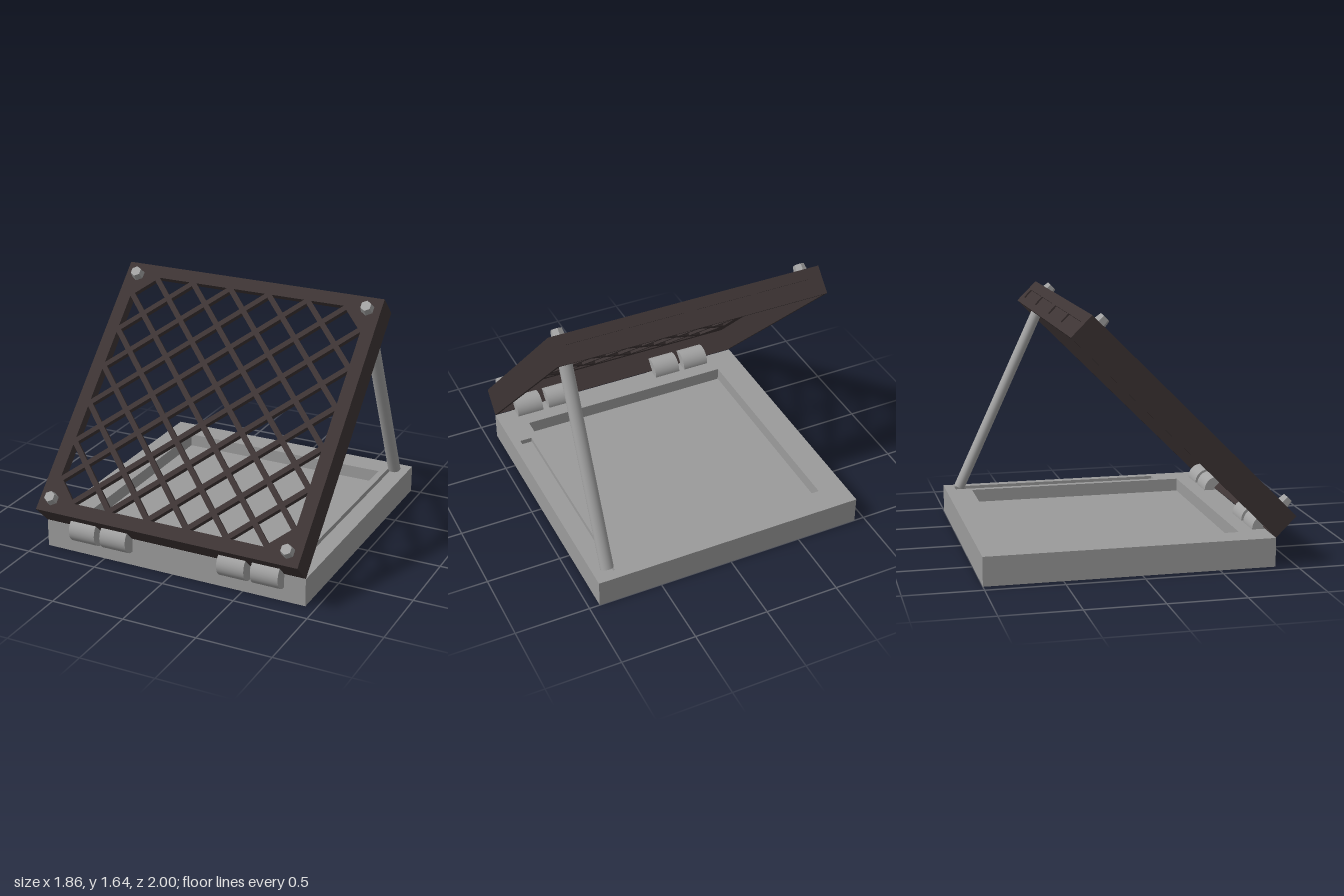
import * as THREE from 'three';

const mat = (name, color) => {
  const m = new THREE.MeshStandardMaterial({ color });
  m.name = name;
  return m;
};

// Closed path from a list of [x, y] corners
const trace = (path, pts) => {
  pts.forEach(([x, y], i) => (i ? path.lineTo(x, y) : path.moveTo(x, y)));
  path.closePath();
  return path;
};
const rect = (x0, y0, x1, y1) => [[x0, y0], [x1, y0], [x1, y1], [x0, y1]];

// Flat plate with holes, extruded along +z
function plate(outline, holes, depth) {
  const shape = trace(new THREE.Shape(), outline);
  shape.holes = holes.map((h) => trace(new THREE.Path(), h));
  return new THREE.ExtrudeGeometry(shape, { depth, bevelEnabled: false });
}

export function createModel() {
  const grey = mat('base grey', 0x9b9b9b);
  const metal = mat('hardware grey', 0xa2a2a2);
  const brown = mat('frame dark brown', 0x3d3434);
  const model = new THREE.Group();

  const add = (parent, name, geo, material, x = 0, y = 0, z = 0) => {
    const mesh = new THREE.Mesh(geo, material);
    mesh.name = name;
    mesh.position.set(x, y, z);
    parent.add(mesh);
    return mesh;
  };

  // Base tray: floor slab, rim with a square recess and a strut slot
  const W = 0.93, back = -1, front = 0.865, baseH = 0.188, floorH = 0.1;
  const recess = rect(-0.745, -0.68, 0.745, 0.82);
  const slot = rect(0.79, -0.52, 0.872, 0.93);
  add(model, 'baseFloor', new THREE.BoxGeometry(2 * W, floorH, front - back), grey, 0, floorH / 2, (front + back) / 2);
  const rim = add(model, 'baseRim', plate(rect(-W, -front, W, -back), [recess, slot], baseH - floorH), grey, 0, floorH, 0);
  rim.rotation.x = -Math.PI / 2;
  add(model, 'slotFloor', new THREE.BoxGeometry(0.082, 0.055, 1.45), grey, 0.831, floorH + 0.0275, -0.205);

  // Tilted lid, hinged at the front edge of the base
  const lid = new THREE.Group();
  lid.name = 'lid';
  lid.position.set(0, 0.19, front);
  lid.rotation.x = -Math.PI / 4;
  model.add(lid);
  const L = 1.858, T = 0.187, faceT = 0.035, wall = 0.02, sideD = T - faceT;

  // Lattice face: diamond holes, halved along the opening's edges, solid corners
  const step = 0.14, h = 0.1145, n = 12, holes = [];
  for (let i = 0; i <= n; i++) {
    for (let j = 0; j <= n; j++) {
      const edgeX = i === 0 || i === n, edgeY = j === 0 || j === n;
      if ((i + j) % 2 || (edgeX && edgeY)) continue;
      const x = -0.84 + step * i, y = 0.09 + step * j;
      const pts = [];
      if (i > 0) pts.push([x - h, y]);
      if (j > 0) pts.push([x, y - h]);
      if (i < n) pts.push([x + h, y]);
      if (j < n) pts.push([x, y + h]);
      holes.push(pts);
    }
  }
  add(lid, 'latticeFace', plate(rect(-W, 0, W, L), holes, faceT), brown, 0, 0, sideD);

  // Thin lid walls behind the lattice
  for (const s of [-1, 1]) {
    add(lid, 'lidSideWall', new THREE.BoxGeometry(wall, L, sideD), brown, s * (W - wall / 2), L / 2, sideD / 2);
  }
  const inner = 2 * (W - wall);
  add(lid, 'lidBottomWall', new THREE.BoxGeometry(inner, wall, sideD), brown, 0, wall / 2, sideD / 2);
  add(lid, 'lidTopWall', new THREE.BoxGeometry(inner, wall / 2, sideD), brown, 0, L - wall * 0.75, sideD / 2);

  // Outer skin of the top wall with four shallow slots
  const slots = [-0.65, -0.235, 0.235, 0.65].map((x) => rect(x - 0.19, -0.117, x + 0.19, -0.047));
  const skin = add(lid, 'slottedTopSkin', plate(rect(-W + wall, -sideD, W - wall, 0), slots, wall / 2), brown, 0, L - wall / 2, 0);
  skin.rotation.x = -Math.PI / 2;

  // Hex bolts at the four corners of the lattice
  const boltGeo = new THREE.CylinderGeometry(0.037, 0.045, 0.05, 6).toNonIndexed();
  boltGeo.computeVertexNormals();
  for (const x of [-0.84, 0.84]) {
    for (const y of [0.09, 1.77]) {
      const bolt = add(lid, 'cornerBolt', boltGeo, metal, x, y, T + 0.025);
      bolt.rotation.x = Math.PI / 2;
    }
  }

  // Hinge knuckles, in two pairs
  const knuckle = new THREE.CylinderGeometry(0.092, 0.092, 0.188, 32);
  for (const x of [-0.612, -0.383, 0.458, 0.691]) {
    add(model, 'hingeKnuckle', knuckle, metal, x, 0.19, 0.872).rotation.z = Math.PI / 2;
  }

  // Prop strut from the slot to the inside of the lid
  const foot = new THREE.Vector3(0.832, 0.195, -0.9);
  const head = new THREE.Vector3(0.832, 1.47, -0.31);
  const dir = head.clone().sub(foot);
  const strut = add(model, 'propStrut', new THREE.CylinderGeometry(0.037, 0.037, dir.length(), 20), metal);
  strut.position.copy(foot).add(head).multiplyScalar(0.5);
  strut.rotation.x = Math.atan2(dir.z, dir.y);
  strut.scale.x = 1.2;

  return model;
}
